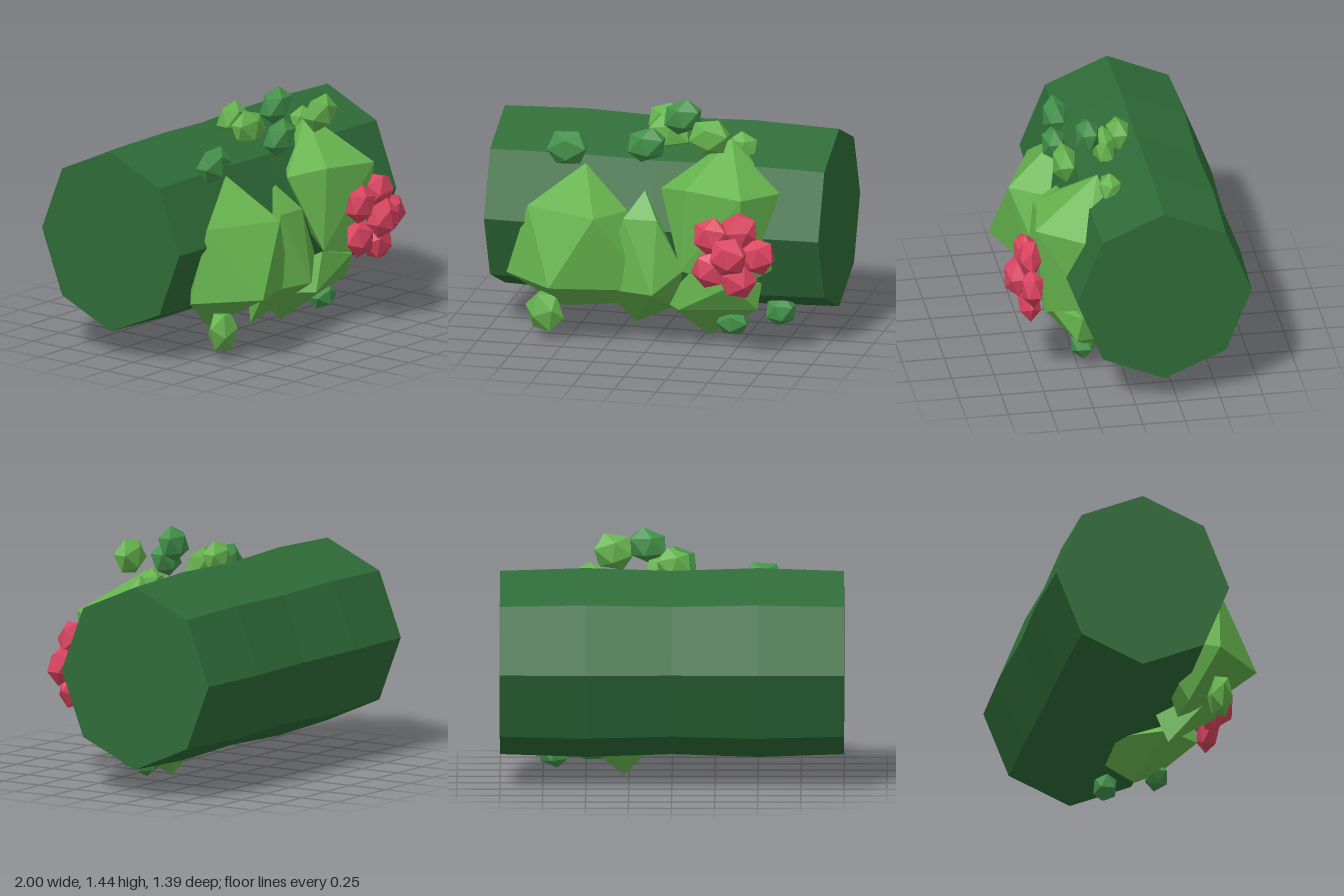
import * as THREE from 'three';
import { ConvexGeometry } from 'three/addons/geometries/ConvexGeometry.js';

const material = (name, color) => {
  const m = new THREE.MeshStandardMaterial({ color, flatShading: true });
  m.name = name;
  return m;
};

export function createModel() {
  const model = new THREE.Group();
  const hedge = material('deep green', 0x2e6b37);
  const leaf = material('light leaf green', 0x65b34d);
  const shade = material('mid leaf green', 0x43914a);
  const petal = material('rose petal', 0xdb4460);

  const add = (name, geometry, mat, parent = model) => {
    const mesh = new THREE.Mesh(geometry, mat);
    mesh.name = name;
    parent.add(mesh);
    return mesh;
  };

  // Eight-sided hedge body lying along x, swelling slightly at x = +-0.5
  const body = new THREE.CylinderGeometry(1, 1, 2, 8, 4);
  body.rotateZ(Math.PI / 2);
  const p = body.attributes.position;
  for (let i = 0; i < p.count; i++) {
    const swell = Math.abs(Math.abs(p.getX(i)) - 0.5) < 0.01 ? 1 : 0.97;
    p.setXYZ(i, p.getX(i), 0.7 + p.getY(i) * 0.555 * swell, -0.17 + p.getZ(i) * 0.53 * swell);
  }
  body.computeVertexNormals();
  add('hedgeBody', body, hedge);

  // Faceted leaf clumps bulging from the front
  const clumps = {
    leftClump: [
      [-0.42, 1.045, 0.22], [-0.74, 0.8, 0.34], [-0.3, 0.8, 0.53], [-0.87, 0.38, 0.32],
      [-0.55, 0.385, 0.605], [-0.13, 0.8, 0.28], [-0.05, 0.43, 0.38], [-0.13, 0.35, 0.42],
      [-0.56, 0.165, 0.2], [-0.25, 0.2, 0.2], [-0.45, 0.6, 0],
    ],
    middleClump: [
      [-0.05, 0.925, 0.29], [0.05, 0.78, 0.41], [-0.15, 0.78, 0.41], [0.04, 0.35, 0.49],
      [0.2, 0.48, 0.38], [-0.28, 0.345, 0.4], [-0.13, 0.09, 0.17], [0.12, 0.22, 0.25],
      [0, 0.6, 0],
    ],
    rightClump: [
      [0.43, 1.23, 0.13], [0.23, 0.99, 0.45], [0.05, 0.95, 0.3], [0.58, 0.97, 0.52],
      [0.75, 0.95, 0.25], [0.2, 0.5, 0.45], [0.55, 0.42, 0.46], [0.75, 0.51, 0.22],
      [0.3, 1.05, 0.06], [0.58, 1.08, 0.08], [0.4, 0.7, 0],
    ],
    lowerClump: [
      [0.28, 0.005, 0.06], [0.18, 0.25, 0.41], [0.03, 0.24, 0.2], [0.25, 0.48, 0.4],
      [0.62, 0.245, 0.28], [0.64, 0.4, 0.25], [0.5, 0.42, 0.42], [0.5, 0.22, -0.1],
      [0.15, 0.22, -0.1],
    ],
  };
  for (const [name, points] of Object.entries(clumps)) {
    add(name, new ConvexGeometry(points.map((q) => new THREE.Vector3(...q))), leaf);
  }

  // Flattened twenty-sided sprig, turned about z
  const ico = new THREE.IcosahedronGeometry(1, 0);
  const sprig = (name, mat, [x, y, z], [sx, sy, sz], turn, parent) => {
    const mesh = add(name, ico, mat, parent);
    mesh.position.set(x, y, z);
    mesh.scale.set(sx, sy, sz);
    mesh.rotation.z = turn;
  };
  const big = [0.135, 0.115, 0.076];
  const small = [0.1, 0.09, 0.076];
  const leaves = [
    [leaf, [-0.63, 0.175, 0.37], big, 1.9],
    [leaf, [0.34, 1.28, 0.31], big, 0.15],
    [leaf, [-0.01, 1.255, -0.065], [0.118, 0.105, 0.076], 0.3],
    [leaf, [0.035, 1.2, 0.025], [0.145, 0.115, 0.07], -0.3],
    [leaf, [0.485, 1.165, 0.065], [0.1, 0.09, 0.072], -0.5],
    [shade, [-0.53, 1.13, 0.22], big, 0.05],
    [shade, [-0.035, 1.21, 0.31], [0.13, 0.105, 0.076], 0.35],
    [shade, [0.14, 1.34, 0.14], [0.13, 0.105, 0.076], 0.4],
    [shade, [0.46, 0.145, 0.225], [0.105, 0.085, 0.076], 0],
    [shade, [0.685, 0.152, -0.03], small, 0.4],
  ];
  leaves.forEach(([mat, pos, scale, turn], i) => sprig(`looseLeaf${i + 1}`, mat, pos, scale, turn));

  // Blossom: five petals round a raised centre
  const blossom = new THREE.Group();
  blossom.name = 'blossom';
  model.add(blossom);
  const petals = [[0.41, 0.755], [0.58, 0.8], [0.685, 0.655], [0.57, 0.505], [0.405, 0.555]];
  petals.forEach(([x, y], i) =>
    sprig(`petal${i + 1}`, petal, [x, y, 0.555], [0.118, 0.118, 0.072], 0.4 + i * 1.26, blossom));
  sprig('blossomCentre', petal, [0.53, 0.66, 0.625], [0.122, 0.122, 0.08], 0.2, blossom);

  return model;
}
